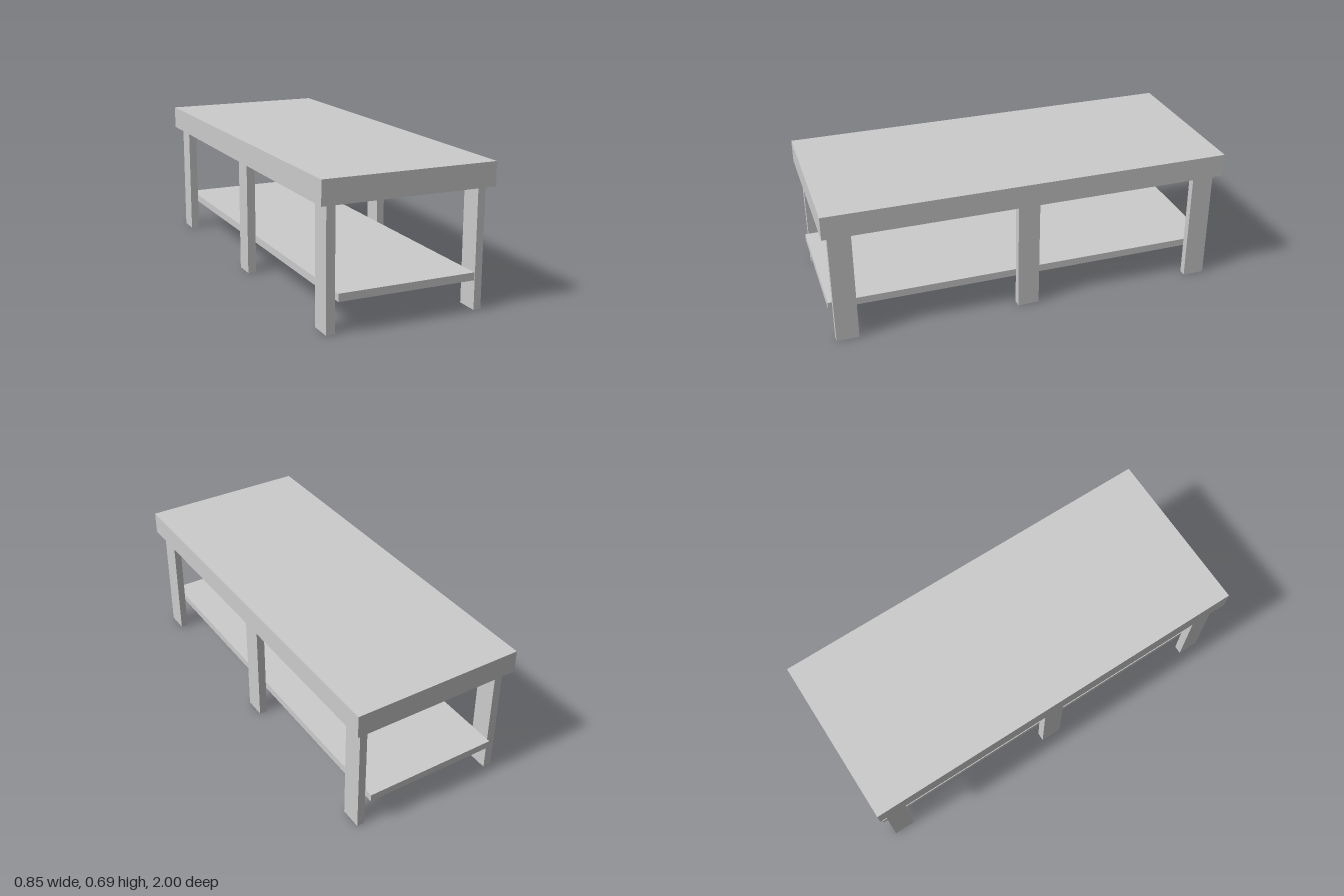
import * as THREE from 'three';

export function createModel() {
  const table = new THREE.Group();
  table.name = 'workTable';
  const material = new THREE.MeshStandardMaterial({ color: 0xcccccc, flatShading: true });

  // Box given by its minimum and maximum on each axis
  function addBox(name, [x0, x1], [y0, y1], [z0, z1]) {
    const mesh = new THREE.Mesh(new THREE.BoxGeometry(x1 - x0, y1 - y0, z1 - z0), material);
    mesh.position.set((x0 + x1) / 2, (y0 + y1) / 2, (z0 + z1) / 2);
    mesh.name = name;
    table.add(mesh);
  }

  const legTop = 0.576;
  addBox('tableTop', [-0.424, 0.424], [legTop, 0.69], [-1, 1]);
  addBox('lowerShelf', [-0.339, 0.337], [0.15, 0.187], [-0.99, 0.99]);

  // Three plank legs along each long side; the left middle one sits slightly inward
  const rows = [
    { name: 'front', z: [0.862, 0.972], left: [0.352, 0.389] },
    { name: 'middle', z: [-0.05, 0.058], left: [0.341, 0.381] },
    { name: 'back', z: [-0.966, -0.858], left: [0.352, 0.389] },
  ];
  for (const { name, z, left } of rows) {
    addBox(name + 'LeftLeg', left, [0, legTop], z);
    addBox(name + 'RightLeg', [-0.388, -0.346], [0, legTop], z);
  }
  return table;
}
